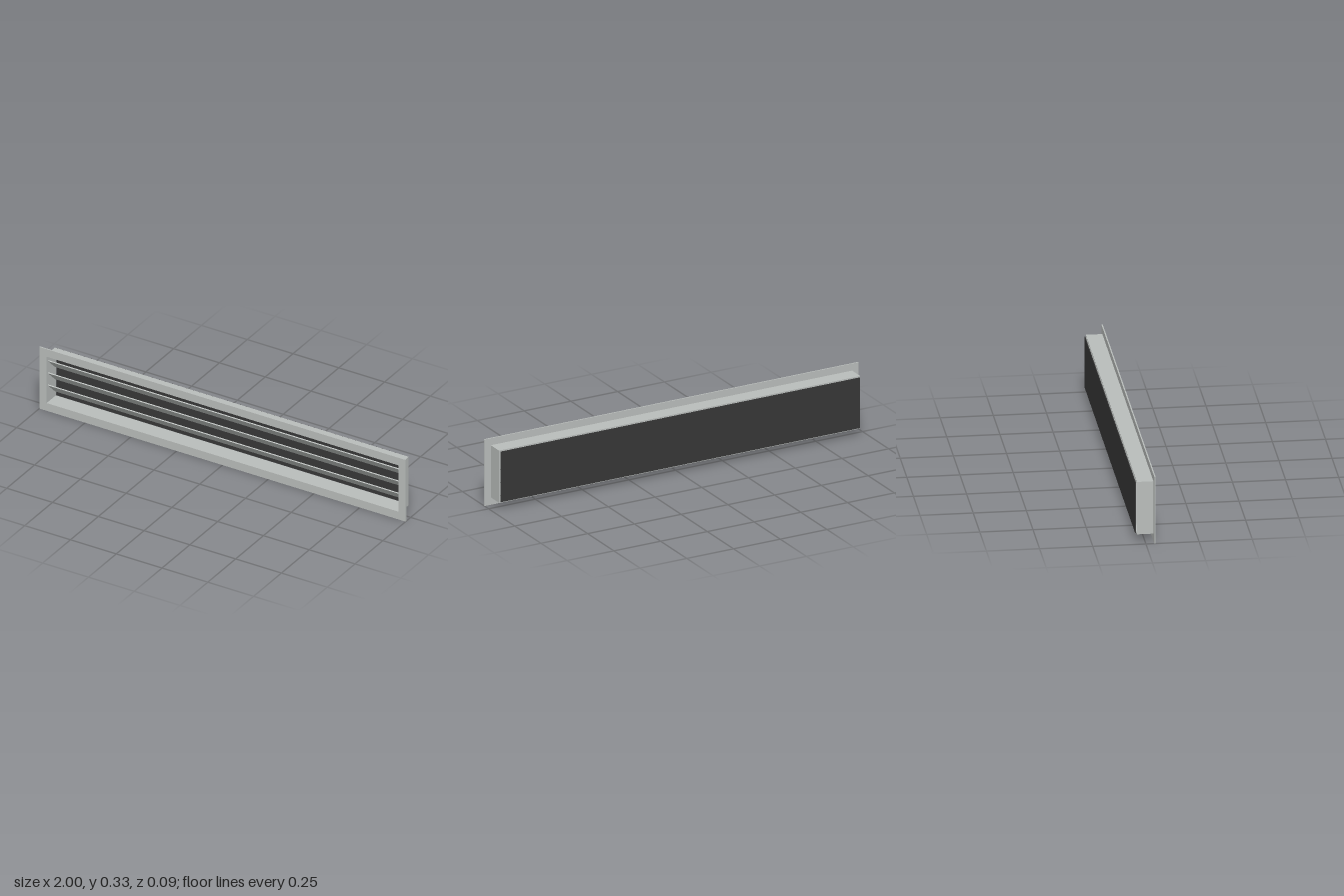
import * as THREE from 'three';

// Rectangular ring standing in the xy plane, extruded from z0 to z1
function rectRing(outer, inner, z0, z1) {
  const trace = (path, [w, bottom, top]) => {
    path.moveTo(-w, bottom);
    path.lineTo(w, bottom);
    path.lineTo(w, top);
    path.lineTo(-w, top);
    path.closePath();
    return path;
  };
  const shape = trace(new THREE.Shape(), outer);
  shape.holes.push(trace(new THREE.Path(), inner));
  const geometry = new THREE.ExtrudeGeometry(shape, { depth: z1 - z0, bevelEnabled: false });
  return geometry.translate(0, 0, z0);
}

export function createModel() {
  const model = new THREE.Group();
  model.name = 'ventGrille';

  const metal = new THREE.MeshStandardMaterial({ color: 0xb9bdbb });
  metal.name = 'grey metal';
  const black = new THREE.MeshStandardMaterial({ color: 0x373737 });
  black.name = 'black backing';

  const add = (name, geometry, material) => {
    const mesh = new THREE.Mesh(geometry, material);
    mesh.name = name;
    model.add(mesh);
    return mesh;
  };

  // Half width, bottom and top of each rectangle
  const opening = [0.96, 0.042, 0.293];

  // Flat front flange and the shallow open duct behind it
  add('frontFlange', rectRing([1, 0, 0.334], opening, 0.0395, 0.0455), metal);
  add('duct', rectRing([0.966, 0.037, 0.299], opening, -0.038, 0.0395), metal);

  // Three full-width louvres, high at the front and low at the back
  for (let i = -1; i <= 1; i++) {
    const louvre = add('louvre', new THREE.BoxGeometry(1.92, 0.005, 0.092), metal);
    louvre.position.set(0, 0.167 + i * 0.066, 0);
    louvre.rotation.x = -Math.PI / 4;
  }

  // Thin backing plate, set a little behind the duct
  const plate = add('backPlate', new THREE.BoxGeometry(1.92, 0.253, 0.004), black);
  plate.position.set(0, 0.1675, -0.0435);

  return model;
}
